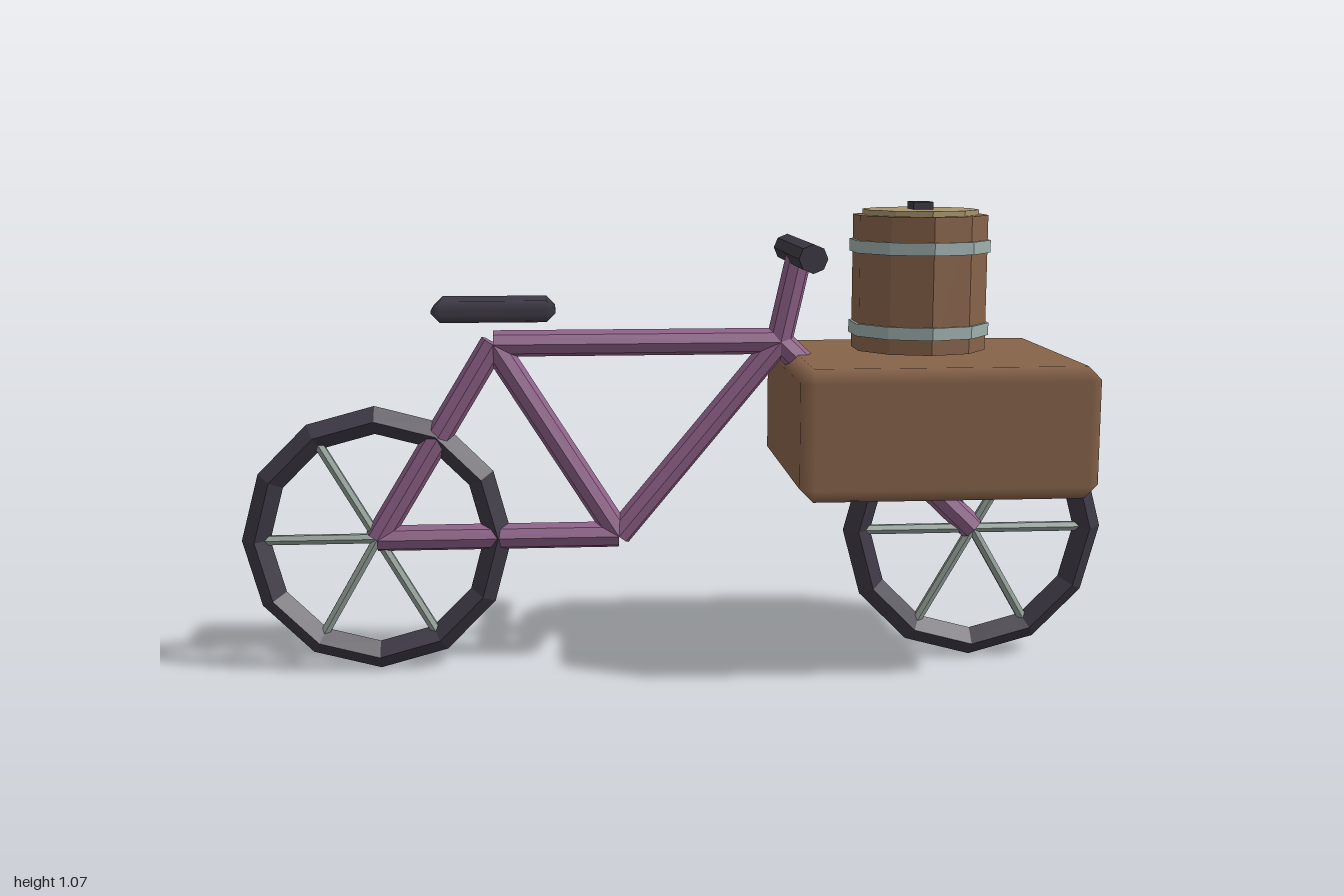
import * as THREE from 'three';
import { ConvexGeometry } from 'three/addons/geometries/ConvexGeometry.js';

const mat = (name, color, flatShading = true) => {
  const m = new THREE.MeshStandardMaterial({ color, flatShading });
  m.name = name;
  return m;
};

// Box with single chamfers, normals blended across the bevels
function chamferBox(w, h, d, c) {
  const half = [w / 2, h / 2, d / 2];
  const points = [];
  for (let axis = 0; axis < 3; axis++)
    for (const sx of [-1, 1]) for (const sy of [-1, 1]) for (const sz of [-1, 1])
      points.push(new THREE.Vector3(...[sx, sy, sz].map((s, i) => s * (half[i] - (i === axis ? 0 : c)))));
  const geo = new ConvexGeometry(points);
  const p = geo.attributes.position, n = geo.attributes.normal;
  for (let i = 0; i < p.count; i++) {
    const v = [p.getX(i), p.getY(i), p.getZ(i)];
    n.setXYZ(i, ...v.map((a, k) => (Math.abs(a) > half[k] - 1e-5 ? Math.sign(a) : 0)));
  }
  return geo;
}

export function createModel() {
  const purple = mat('purple paint', 0x8f6189);
  const dark = mat('dark rubber', 0x3e3946);
  const darkSmooth = dark.clone();
  darkSmooth.flatShading = false;
  const wood = mat('brown wood', 0x87634a);
  const woodSmooth = wood.clone();
  woodSmooth.flatShading = false;
  const steel = mat('pale steel', 0x9fb0ae);
  const spokeMetal = mat('spoke metal', 0x909e97);
  const lidWood = mat('pale lid wood', 0xa8946d);

  const root = new THREE.Group();
  root.name = 'cargoBicycle';
  const add = (name, geo, material, pos = [0, 0, 0], parent = root) => {
    const m = new THREE.Mesh(geo, material);
    m.name = name;
    m.position.set(...pos);
    parent.add(m);
    return m;
  };
  const rod = (name, a, b, r, sides, material, parent = root) => {
    const from = new THREE.Vector3(...a), to = new THREE.Vector3(...b);
    const dir = to.clone().sub(from);
    const m = add(name, new THREE.CylinderGeometry(r, r, dir.length(), sides), material,
      from.add(to).multiplyScalar(0.5).toArray(), parent);
    m.quaternion.setFromUnitVectors(new THREE.Vector3(0, 1, 0), dir.normalize());
    return m;
  };

  // Wheels: diamond-section tyre with three full-width spokes
  for (const [name, x] of [['rearWheel', -0.69], ['frontWheel', 0.69]]) {
    const wheel = new THREE.Group();
    wheel.name = name;
    wheel.position.set(x, 0.31, 0);
    root.add(wheel);
    add('tyre', new THREE.TorusGeometry(0.274, 0.032, 4, 12), dark, [0, 0, 0], wheel);
    for (let i = 0; i < 3; i++) {
      const a = i * Math.PI / 3, cx = Math.cos(a) * 0.265, cy = Math.sin(a) * 0.265;
      rod('spoke', [-cx, -cy, 0], [cx, cy, 0], 0.012, 6, spokeMetal, wheel);
    }
  }

  // Frame tubes
  const rearHub = [-0.69, 0.31, 0], crank = [-0.14, 0.31, 0], seatNode = [-0.42, 0.755, 0];
  const head = [0.23, 0.755, 0], frontHub = [0.69, 0.31, 0], barNode = [0.275, 0.955, 0];
  const tubes = {
    chainStay: [rearHub, crank], seatStay: [rearHub, seatNode], seatTube: [crank, seatNode],
    topTube: [seatNode, head], downTube: [crank, head], fork: [head, frontHub], stem: [head, barNode],
  };
  for (const [name, [a, b]] of Object.entries(tubes)) rod(name, a, b, 0.03, 8, purple);

  // Handlebar and saddle
  rod('handlebar', [0.275, 0.955, -0.202], [0.275, 0.955, 0.202], 0.032, 8, dark);
  add('saddle', chamferBox(0.275, 0.048, 0.165, 0.02), darkSmooth, [-0.417, 0.833, 0]);

  // Cargo box over the front wheel
  add('cargoBox', chamferBox(0.66, 0.292, 0.596, 0.03), woodSmooth, [0.57, 0.579, 0]);

  // Barrel with two hoops, lid and handle
  const barrel = new THREE.Group();
  barrel.name = 'barrel';
  barrel.position.set(0.55, 0, 0);
  root.add(barrel);
  const disc = (name, r, y0, y1, material) =>
    add(name, new THREE.CylinderGeometry(r, r, y1 - y0, 10), material, [0, (y0 + y1) / 2, 0], barrel);
  disc('staves', 0.153, 0.736, 1.041, wood);
  disc('lowerHoop', 0.16, 0.77, 0.798, steel);
  disc('upperHoop', 0.16, 0.957, 0.985, steel);
  disc('lid', 0.132, 1.03, 1.053, lidWood);
  add('lidHandle', new THREE.BoxGeometry(0.045, 0.024, 0.066), dark, [0, 1.058, 0], barrel);

  return root;
}
